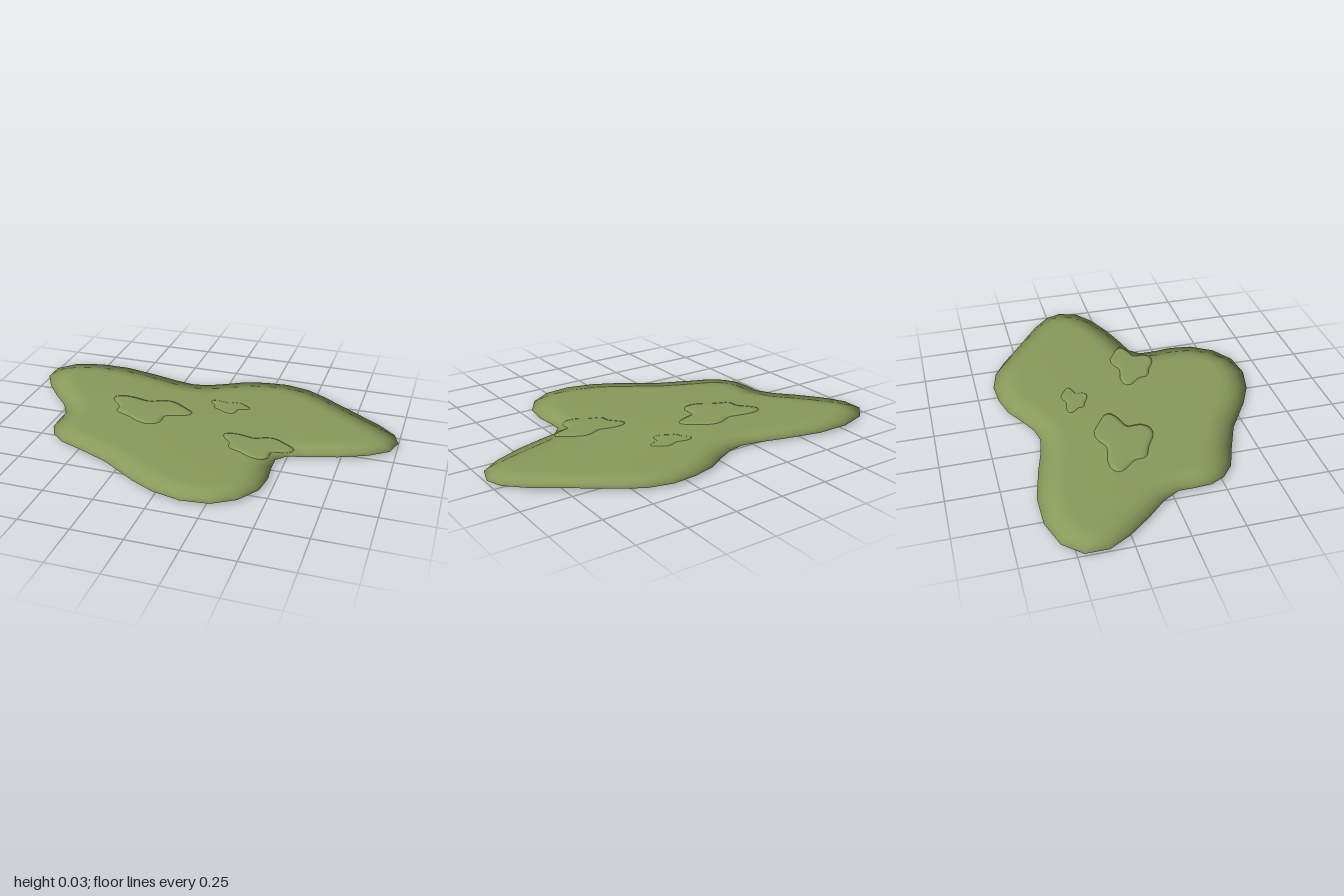
import * as THREE from 'three';
import { toCreasedNormals } from 'three/addons/utils/BufferGeometryUtils.js';

// Outline of the puddle as [x, z]
const OUTLINE = [
  [-1, -.47], [-.92, -.555], [-.775, -.6], [-.605, -.6], [-.42, -.56], [-.29, -.525], [-.18, -.505],
  [-.1, -.52], [0, -.57], [.085, -.62], [.2, -.65], [.325, -.66], [.45, -.63], [.545, -.575],
  [.7, -.465], [.88, -.34], [.97, -.255], [1, -.175], [.97, -.08], [.875, -.01], [.74, .05],
  [.595, .095], [.5, .12], [.455, .17], [.455, .25], [.465, .35], [.45, .46], [.38, .57],
  [.27, .64], [.13, .655], [-.015, .62], [-.135, .56], [-.325, .435], [-.5, .36], [-.605, .32],
  [-.675, .26], [-.71, .19], [-.715, .11], [-.715, .03], [-.765, -.055], [-.85, -.145],
  [-.94, -.255], [-1, -.36],
];
const BEVEL = 0.13;
const DEPTH = 0.01;

// Full-height rounded slab; its soft rim normals are kept when it is flattened
function createSlab() {
  const shape = new THREE.Shape(OUTLINE.map(([x, z]) => new THREE.Vector2(x, -z)));
  const geometry = new THREE.ExtrudeGeometry(shape, {
    depth: DEPTH, bevelEnabled: true, bevelThickness: BEVEL, bevelSize: BEVEL,
    bevelOffset: -BEVEL, bevelSegments: 8,
  });
  geometry.translate(0, 0, -DEPTH / 2);
  geometry.rotateX(-Math.PI / 2);
  return toCreasedNormals(geometry, Math.PI / 3);
}

// Flatten and place a copy of the slab, moving positions only
function flatten(slab, sx, sz, halfHeight, x, y, z) {
  const geometry = slab.clone();
  const p = geometry.attributes.position;
  const sy = halfHeight / (BEVEL + DEPTH / 2);
  for (let i = 0; i < p.count; i++) {
    p.setXYZ(i, p.getX(i) * sx + x, p.getY(i) * sy + y, p.getZ(i) * sz + z);
  }
  return geometry;
}

export function createModel() {
  const group = new THREE.Group();
  group.name = 'puddle';
  const moss = new THREE.MeshStandardMaterial({ color: 0x8a9a5b });
  moss.name = 'mossGreen';
  const slab = createSlab();

  const add = (name, ...placement) => {
    const mesh = new THREE.Mesh(flatten(slab, ...placement), moss);
    mesh.name = name;
    group.add(mesh);
  };

  // Main pool, then three small copies resting on top
  add('pool', 1, 1, 0.0135, 0, 0.0135, 0);
  add('largeBlob', 0.235, 0.222, 0.009, -0.3, 0.022, -0.105);
  add('mediumBlob', 0.188, 0.175, 0.008, 0.337, 0.0225, 0.1);
  add('smallBlob', 0.113, 0.104, 0.006, 0.095, 0.0235, -0.272);
  return group;
}
